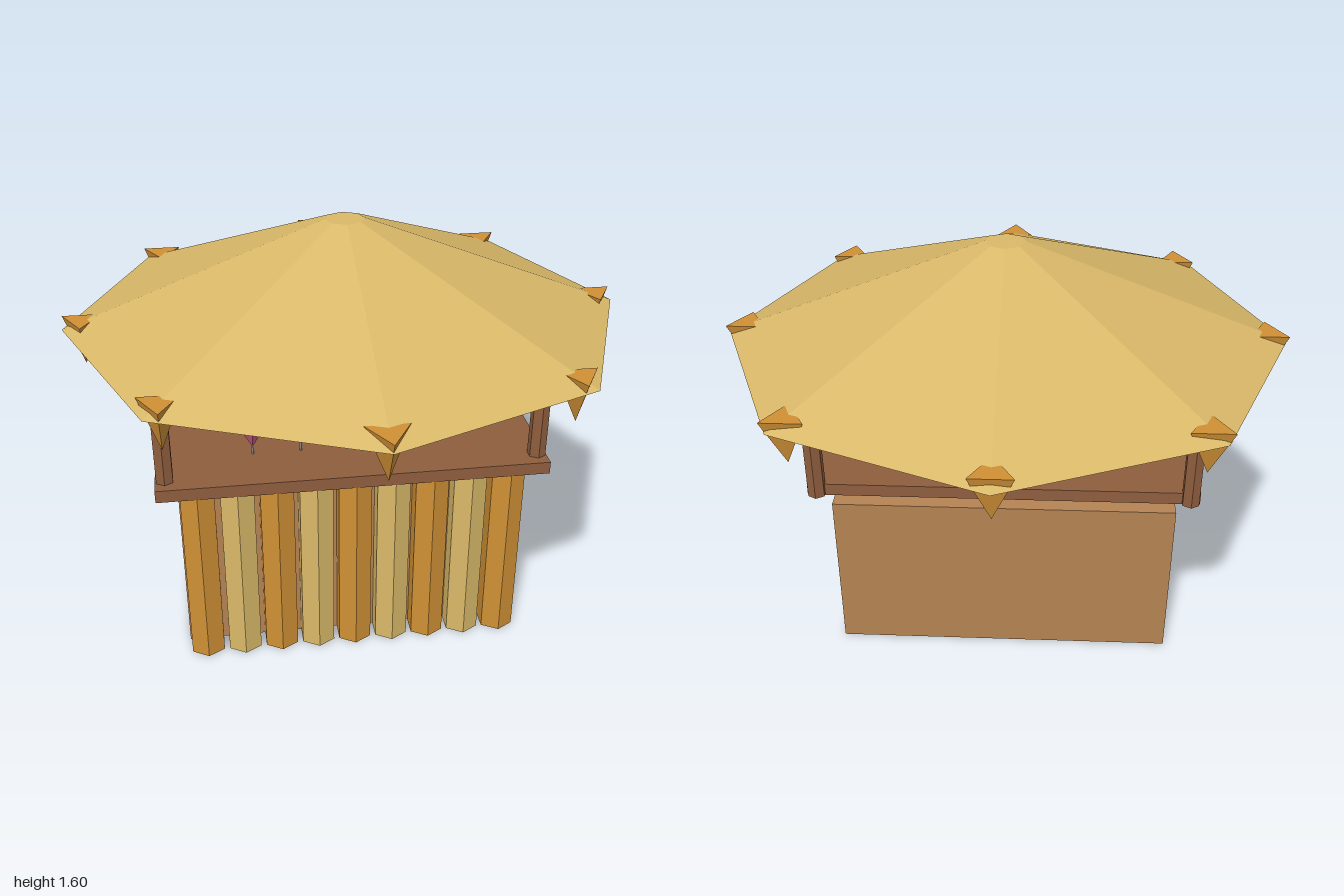
import * as THREE from 'three';

const mat = (name, color) => {
  const m = new THREE.MeshStandardMaterial({ color, flatShading: true });
  m.name = name;
  return m;
};

export function createModel() {
  const straw = mat('straw', 0xd9b868);
  const bamboo = mat('golden bamboo', 0xd09035);
  const wood = mat('dark wood', 0x8f5e3e);
  const plank = mat('light wood', 0xb58353);
  const pink = mat('pink', 0xd6608c);
  const steel = mat('steel', 0xa2abb3);

  const model = new THREE.Group();
  model.name = 'strawRoofBar';

  const add = (name, geometry, material, x, y, z, parent = model) => {
    const mesh = new THREE.Mesh(geometry, material);
    mesh.name = name;
    mesh.position.set(x, y, z);
    parent.add(mesh);
    return mesh;
  };
  // Upright prism standing between two heights
  const prism = (name, material, r, sides, x, y0, y1, z, parent) =>
    add(name, new THREE.CylinderGeometry(r, r, y1 - y0, sides), material, x, (y0 + y1) / 2, z, parent);
  // Box given by its limits
  const box = (name, material, x0, x1, y0, y1, z0, z1, parent) =>
    add(name, new THREE.BoxGeometry(x1 - x0, y1 - y0, z1 - z0), material,
      (x0 + x1) / 2, (y0 + y1) / 2, (z0 + z1) / 2, parent);

  // Bar body and counter top
  box('barBody', plank, -0.635, 0.635, 0, 0.64, -0.215, 0.205);
  box('counterTop', wood, -0.71, 0.71, 0.71, 0.757, -0.255, 0.313);

  // Alternating hexagonal canes along the front
  for (let i = 0; i < 9; i++) {
    prism('frontCane', i % 2 ? straw : bamboo, 0.07, 6, (i - 4) * 0.1417, 0, 0.71, 0.245);
  }

  // Corner posts
  for (const x of [-0.675, 0.675]) {
    for (const z of [-0.255, 0.245]) prism('post', wood, 0.034, 6, x, 0.715, 1.26, z);
  }

  // Eight-sided roof with a flat top
  const roofZ = -0.005;
  add('roof', new THREE.CylinderGeometry(0.07, 0.99, 0.355, 8), straw, 0, 1.4225, roofZ);

  // Hanging tassels at the roof corners, all facing the same way
  const tassel = new THREE.ConeGeometry(0.08, 0.165, 3).rotateZ(Math.PI);
  for (let i = 0; i < 8; i++) {
    const a = (i * Math.PI) / 4;
    add('tassel', tassel, bamboo, Math.sin(a) * 0.92, 1.1975, roofZ + Math.cos(a) * 0.92);
  }

  // Sign hanging under the front of the roof
  const sign = new THREE.Group();
  sign.name = 'sign';
  model.add(sign);
  box('signEdge', wood, -0.315, 0.315, 1.075, 1.34, 0.376, 0.392, sign);
  box('signBoard', plank, -0.303, 0.303, 1.085, 1.33, 0.37, 0.398, sign);
  box('signPanel', pink, -0.265, 0.265, 1.102, 1.31, 0.398, 0.413, sign);

  // Blender: steel base, pink jar and wooden lid
  const blender = new THREE.Group();
  blender.name = 'blender';
  model.add(blender);
  prism('blenderBase', steel, 0.064, 8, 0.352, 0.755, 0.915, -0.04, blender);
  prism('blenderJar', pink, 0.046, 8, 0.352, 0.915, 0.995, -0.04, blender);
  prism('blenderLid', wood, 0.052, 8, 0.352, 0.995, 1.027, -0.04, blender);

  // Cocktail glasses
  const bowl = new THREE.ConeGeometry(0.04, 0.068, 6).rotateZ(Math.PI);
  [[-0.355, pink], [-0.178, bamboo], [0, pink]].forEach(([x, drink]) => {
    const glass = new THREE.Group();
    glass.name = 'cocktail';
    model.add(glass);
    add('bowl', bowl, drink, x, 0.821, 0.1, glass);
    prism('stem', steel, 0.005, 6, x, 0.755, 0.8, 0.1, glass);
  });

  return model;
}
